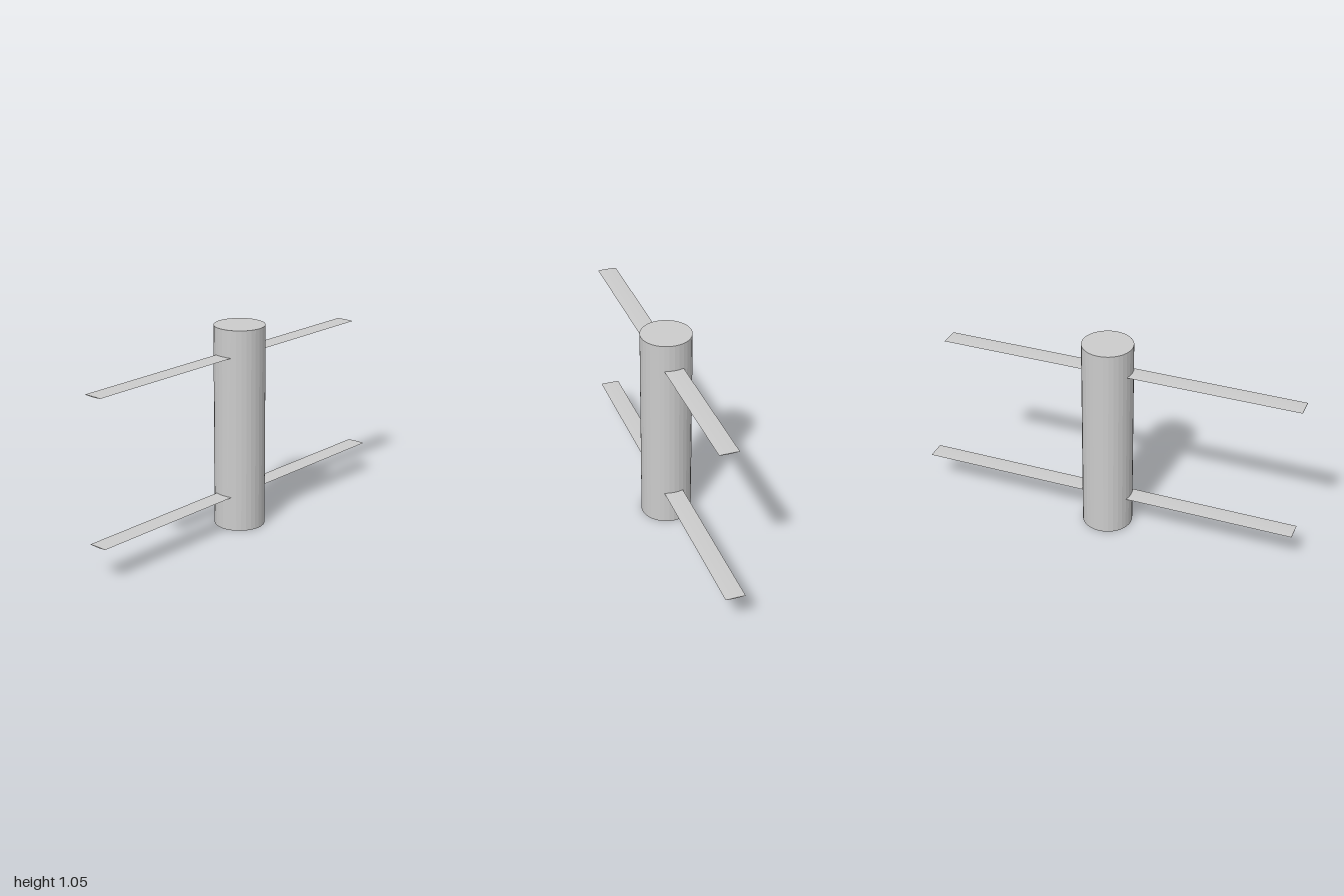
import * as THREE from 'three';

const grey = new THREE.MeshStandardMaterial({ color: 0xcccccc, flatShading: true });

// Thin lens-shaped slat running along z from zBack to zFront
function makeSlat(name, y, zBack, zFront) {
  const section = new THREE.Shape();
  section.moveTo(-0.05, 0);
  section.quadraticCurveTo(0, -0.005, 0.05, 0);
  section.quadraticCurveTo(0, 0.003, -0.05, 0);
  const geometry = new THREE.ExtrudeGeometry(section, {
    depth: zFront - zBack, bevelEnabled: false, curveSegments: 6,
  });
  const slat = new THREE.Mesh(geometry, grey);
  slat.name = name;
  slat.position.set(0, y, zBack);
  return slat;
}

export function createModel() {
  const model = new THREE.Group();
  model.name = 'postWithSlats';

  // Upright round post
  const height = 1.053;
  const post = new THREE.Mesh(new THREE.CylinderGeometry(0.13, 0.13, height, 32), grey);
  post.name = 'post';
  post.position.y = height / 2;
  model.add(post);

  // Slats through the post; the upper one is shorter at the back
  model.add(makeSlat('upperSlat', 0.912, -0.87, 1));
  model.add(makeSlat('lowerSlat', 0.179, -1, 1));

  return model;
}
